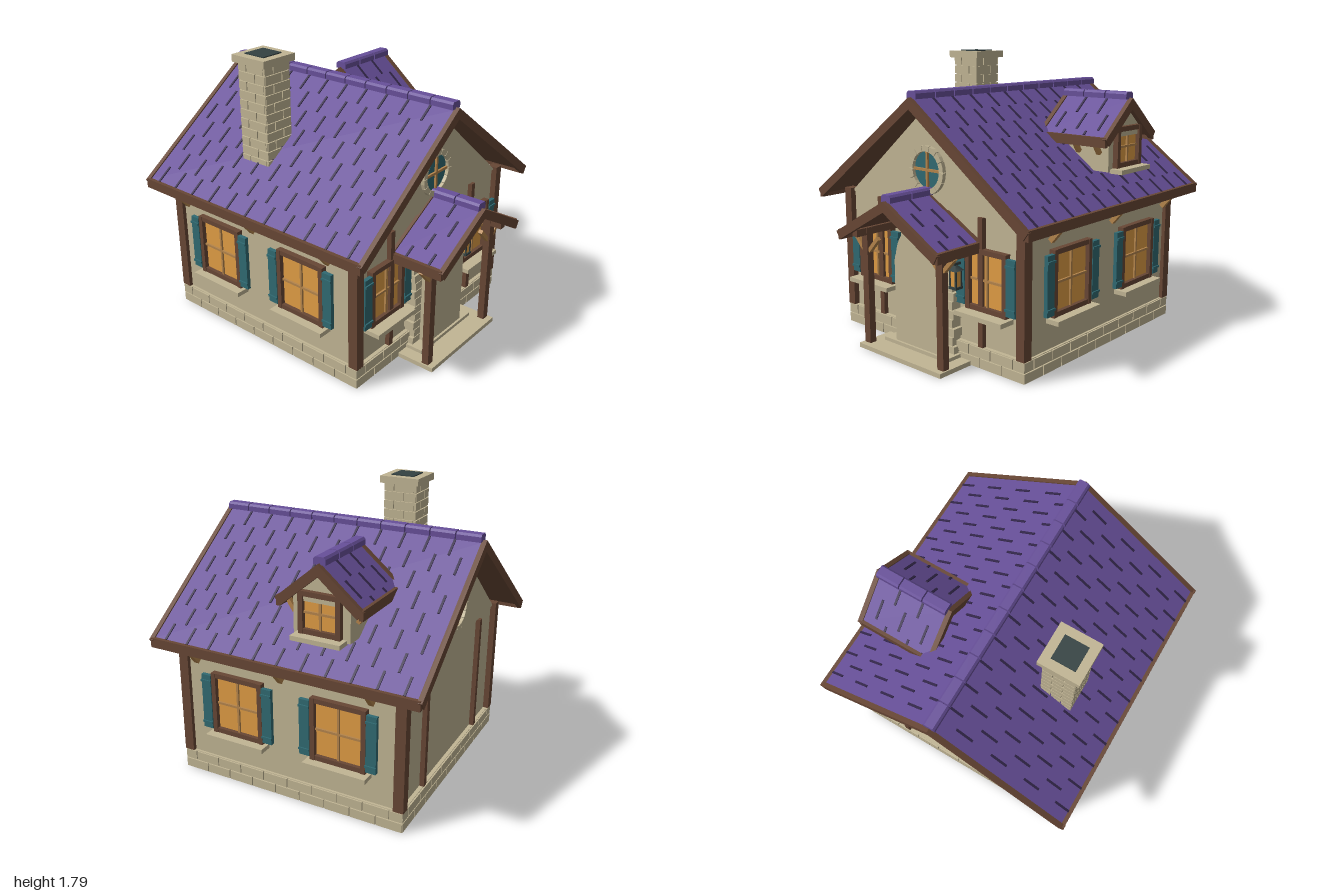
import * as THREE from 'three';

const mat = (name, color) => Object.assign(new THREE.MeshStandardMaterial({ color }), { name });
const M = {
  plaster: mat('plaster', 0xc1b594),
  stone: mat('stone', 0xc1b594),
  beam: mat('dark timber', 0x684735),
  wood: mat('light timber', 0xb5854c),
  tile: mat('roof tile', 0x68509a),
  groove: mat('tile groove', 0x33274a),
  glass: mat('amber glass', 0xe09d44),
  teal: mat('shutter paint', 0x306a72),
  flue: mat('flue', 0x344242),
};

function add(parent, name, geo, material, x = 0, y = 0, z = 0, rz = 0) {
  const m = new THREE.Mesh(geo, material);
  m.name = name;
  m.position.set(x, y, z);
  m.rotation.z = rz;
  parent.add(m);
  return m;
}
const box = (parent, name, material, w, h, d, x, y, z, rz = 0) =>
  add(parent, name, new THREE.BoxGeometry(w, h, d), material, x, y, z, rz);

function sub(parent, name, x = 0, y = 0, z = 0, ry = 0) {
  const g = new THREE.Group();
  g.name = name;
  g.position.set(x, y, z);
  g.rotation.y = ry;
  parent.add(g);
  return g;
}

// Extrude an outline in x, y from z0 to z1
function prism(parent, name, material, pts, z0, z1) {
  const shape = new THREE.Shape(pts.map((p) => new THREE.Vector2(p[0], p[1])));
  const geo = new THREE.ExtrudeGeometry(shape, { depth: z1 - z0, bevelEnabled: false });
  return add(parent, name, geo, material, 0, 0, z0);
}

// Gable roof with its ridge along z: W half width, apex and eave heights
function gableRoof(parent, name, { W, apex, eave, z0, z1, tiles }) {
  const g = sub(parent, name);
  const k = (apex - eave) / W, ang = Math.atan(k);
  const chevron = (lift, w, t) => {
    const a = apex + lift, e = a - k * w, dx = t * Math.sin(ang), dy = t * Math.cos(ang);
    return [[0, a], [-w, e], [-w + dx, e - dy], [0, a - t / Math.cos(ang)], [w - dx, e - dy], [w, e]];
  };
  prism(g, 'roofTiles', M.tile, chevron(0, W - 0.015, 0.014), z0 + 0.01, z1 - 0.01);
  prism(g, 'roofDeck', M.beam, chevron(-0.014, W - 0.015, 0.018), z0 + 0.01, z1 - 0.01);
  prism(g, 'frontBargeboard', M.beam, chevron(0.01, W, 0.055), z1 - 0.03, z1);
  prism(g, 'backBargeboard', M.beam, chevron(0.01, W, 0.055), z0, z0 + 0.03);
  const len = z1 - z0;
  for (const s of [-1, 1]) {
    box(g, 'eaveBoard', M.beam, 0.025, 0.06, len - 0.02, s * (W - 0.0155), eave - 0.01, (z0 + z1) / 2);
    // staggered joints between the tiles
    const rows = Math.floor((len - 0.2) / 0.0785);
    for (let i = 0; i <= rows; i++) {
      const z = (z0 + z1) / 2 + (i - rows / 2) * 0.0785;
      for (let x = i % 2 ? 0.008 : 0.114; x < W - 0.05; x += 0.217) {
        const end = Math.min(x + 0.1, W - 0.025), c = (x + end) / 2;
        box(g, 'tileJoint', M.groove, (end - x) / Math.cos(ang), 0.008, 0.014,
          s * c, apex - k * c + 0.002, z, -s * ang);
      }
    }
  }
  // chamfered ridge tiles
  const step = (len - 0.04) / tiles;
  const ridge = [[-0.038, 0], [0.038, 0], [0.038, 0.032], [0.026, 0.045], [-0.026, 0.045], [-0.038, 0.032]]
    .map(([x, y]) => [x, apex + y]);
  for (let i = 0; i < tiles; i++)
    prism(g, 'ridgeTile', M.tile, ridge, z0 + 0.024 + i * step, z0 + 0.016 + (i + 1) * step);
}

// Solid core faced with staggered stones on its four sides
function stonework(parent, name, w, d, y0, y1, rows, stoneLen, x, z) {
  const g = sub(parent, name, x, 0, z);
  box(g, 'stoneCore', M.stone, w - 0.02, y1 - y0, d - 0.02, 0, (y0 + y1) / 2, 0);
  const h = (y1 - y0) / rows;
  for (let side = 0; side < 4; side++) {
    const L = side % 2 ? d : w, D = side % 2 ? w : d;
    const face = sub(g, 'stoneFace', 0, 0, 0, side * Math.PI / 2);
    for (let r = 0; r < rows; r++)
      for (let a = -L / 2 - (r % 2) * stoneLen / 2; a < L / 2 - 0.01; a += stoneLen) {
        const p = Math.max(a, -L / 2), q = Math.min(a + stoneLen, L / 2);
        box(face, 'stone', M.stone, q - p - 0.007, h - 0.007, 0.03, (p + q) / 2, y0 + (r + 0.5) * h, D / 2 - 0.015);
      }
  }
}

// Window facing +z, with its back on z = 0
function windowUnit(parent, name, w, h, x, y, z, ry, shutters, sillDepth) {
  const g = sub(parent, name, x, y, z, ry);
  box(g, 'glass', M.glass, w - 0.03, h - 0.03, 0.008, 0, 0, 0.008);
  for (const s of [-1, 1]) {
    box(g, 'frameSide', M.beam, 0.03, h, 0.04, s * (w / 2 - 0.015), 0, 0.02);
    box(g, 'frameRail', M.beam, w, 0.03, 0.036, 0, s * (h / 2 - 0.015), 0.018);
    if (!shutters) continue;
    const sx = s * (w / 2 + 0.036);
    box(g, 'shutter', M.teal, 0.066, h - 0.04, 0.025, sx, 0, 0.03);
    for (const t of [-1, 1]) box(g, 'shutterBatten', M.teal, 0.07, 0.014, 0.01, sx, t * (h / 2 - 0.06), 0.046);
  }
  box(g, 'muntin', M.wood, 0.014, h - 0.04, 0.016, 0, 0, 0.016);
  box(g, 'muntin', M.wood, w - 0.04, 0.014, 0.016, 0, 0, 0.016);
  box(g, 'sill', M.stone, w + 0.05, 0.028, sillDepth, 0, -h / 2 - 0.016, sillDepth / 2);
  return g;
}

// Curved stones around an arc
function stoneArc(parent, name, r0, r1, a0, a1, n, y, z0, z1) {
  for (let i = 0; i < n; i++) {
    const p = a0 + (a1 - a0) * (i + 0.03) / n, q = a0 + (a1 - a0) * (i + 0.97) / n;
    const pts = [[r0, p], [r1, p], [r1, (p + q) / 2], [r1, q], [r0, q], [r0, (p + q) / 2]]
      .map(([r, a]) => [r * Math.cos(a), y + r * Math.sin(a)]);
    prism(parent, name, M.stone, pts, z0, z1);
  }
}

export function createModel() {
  const house = new THREE.Group();
  house.name = 'cottage';
  const ZC = -0.1;

  // Walls, gables and foundation
  box(house, 'walls', M.plaster, 1.48, 0.8, 1.46, 0, 0.5, ZC);
  for (const [a, b] of [[0.6, 0.64], [-0.84, -0.8]])
    prism(house, 'gableWall', M.plaster, [[-0.72, 0.9], [0.72, 0.9], [0, 1.5]], a, b);
  stonework(house, 'foundation', 1.53, 1.53, 0, 0.13, 2, 0.17, 0, ZC);

  // Timber posts
  for (const z of [0.635, -0.835])
    for (const s of [-1, 1]) {
      box(house, 'cornerPost', M.beam, 0.06, 0.79, 0.065, s * 0.735, 0.525, z);
      box(house, 'wallPost', M.beam, 0.036, 0.77, 0.05, s * 0.43, 0.515, z);
    }

  // Main roof and eave brackets
  gableRoof(house, 'mainRoof', { W: 0.885, apex: 1.545, eave: 0.9, z0: -1, z1: 0.79, tiles: 11 });
  for (const s of [-1, 1])
    for (const z of [0.49, -0.1, -0.68])
      box(house, 'eaveBracket', M.wood, 0.03, 0.09, 0.03, s * 0.835, 0.835, z, -s * 0.7);

  // Windows
  for (const s of [-1, 1]) {
    windowUnit(house, 'frontWindow', 0.31, 0.37, s * 0.475, 0.535, 0.63, 0, true, 0.11);
    for (const z of [0.24, -0.45])
      windowUnit(house, 'sideWindow', 0.36, 0.4, s * 0.74, 0.525, z, s * Math.PI / 2, true, 0.09);
  }

  // Round gable windows
  for (const [z, ry] of [[0.64, 0], [-0.84, Math.PI]]) {
    const g = sub(house, 'roundWindow', 0, 1.12, z, ry);
    add(g, 'roundPane', new THREE.CircleGeometry(0.114, 28), M.teal, 0, 0, 0.003);
    stoneArc(g, 'roundWindowStone', 0.112, 0.146, 0, Math.PI * 2, 14, 0, 0, 0.025);
    box(g, 'muntin', M.wood, 0.016, 0.23, 0.016, 0, 0, 0.008);
    box(g, 'muntin', M.wood, 0.23, 0.016, 0.016, 0, 0, 0.008);
  }

  // Arched doorway
  const door = sub(house, 'doorway');
  const arch = [[-0.18, 0.04], [0.18, 0.04]];
  for (let i = 0; i <= 12; i++)
    arch.push([0.18 * Math.cos(i * Math.PI / 12), 0.54 + 0.18 * Math.sin(i * Math.PI / 12)]);
  prism(door, 'doorPanel', M.plaster, arch, 0.62, 0.765);
  stoneArc(door, 'archStone', 0.18, 0.255, 0, Math.PI, 11, 0.54, 0.62, 0.69);
  for (const s of [-1, 1])
    for (let i = 0; i < 9; i++) {
      const w = i % 2 ? 0.062 : 0.075;
      box(door, 'jambStone', M.stone, w, 0.05, 0.08, s * (0.18 + w / 2), 0.068 + i * 0.0555, 0.66);
    }

  // Porch with steps, posts and braces
  const porch = sub(house, 'porch');
  box(porch, 'lowerStep', M.stone, 0.71, 0.028, 0.3, 0, 0.014, 0.765);
  box(porch, 'upperStep', M.stone, 0.55, 0.024, 0.16, 0, 0.038, 0.7);
  gableRoof(porch, 'porchRoof', { W: 0.43, apex: 0.975, eave: 0.735, z0: 0.62, z1: 1, tiles: 2 });
  for (const s of [-1, 1]) {
    box(porch, 'porchPost', M.beam, 0.05, 0.74, 0.045, s * 0.32, 0.39, 0.855);
    box(porch, 'porchBeam', M.beam, 0.045, 0.045, 0.32, s * 0.32, 0.74, 0.79);
    for (const t of [-1, 1])
      box(porch, 'porchBrace', M.wood, 0.024, 0.12, 0.028, s * 0.32 + t * 0.062, 0.66, 0.855, -t * 0.75);
  }

  // Wall lantern
  const lantern = sub(house, 'lantern', 0.285, 0.53, 0.71);
  box(lantern, 'lanternGlass', M.glass, 0.045, 0.1, 0.045, 0, 0, 0);
  box(lantern, 'lanternBase', M.flue, 0.06, 0.015, 0.06, 0, -0.055, 0);
  box(lantern, 'lanternBracket', M.flue, 0.015, 0.015, 0.09, 0, 0.085, -0.03);
  for (const a of [-1, 1])
    for (const b of [-1, 1]) box(lantern, 'lanternBar', M.flue, 0.009, 0.1, 0.009, a * 0.022, 0, b * 0.022);
  const cap = add(lantern, 'lanternCap', new THREE.ConeGeometry(0.05, 0.04, 4), M.flue, 0, 0.068, 0);
  cap.rotation.y = Math.PI / 4;

  // Chimney
  stonework(house, 'chimney', 0.21, 0.225, 1.04, 1.745, 12, 0.14, -0.475, -0.285);
  box(house, 'chimneyCap', M.stone, 0.26, 0.045, 0.265, -0.475, 1.762, -0.285);
  box(house, 'chimneyFlue', M.flue, 0.15, 0.008, 0.155, -0.475, 1.787, -0.285);

  // Dormer, built facing +z and turned to the +x slope
  const dormer = sub(house, 'dormer', 0, 0, -0.33, Math.PI / 2);
  prism(dormer, 'dormerWall', M.plaster,
    [[-0.18, 1.085], [0.18, 1.085], [0.18, 1.33], [0, 1.48], [-0.18, 1.33]], 0.3, 0.735);
  gableRoof(dormer, 'dormerRoof', { W: 0.275, apex: 1.515, eave: 1.285, z0: 0.26, z1: 0.78, tiles: 3 });
  const dormerWindow = windowUnit(dormer, 'dormerWindow', 0.265, 0.25, 0, 1.23, 0.73, 0, false, 0.09);
  box(dormerWindow, 'windowHead', M.plaster, 0.205, 0.03, 0.02, 0, 0.08, 0.016);
  for (const s of [-1, 1])
    for (const z of [0.53, 0.68])
      box(dormer, 'dormerBracket', M.wood, 0.025, 0.09, 0.028, s * 0.225, 1.235, z, -s * 0.6);

  return house;
}
